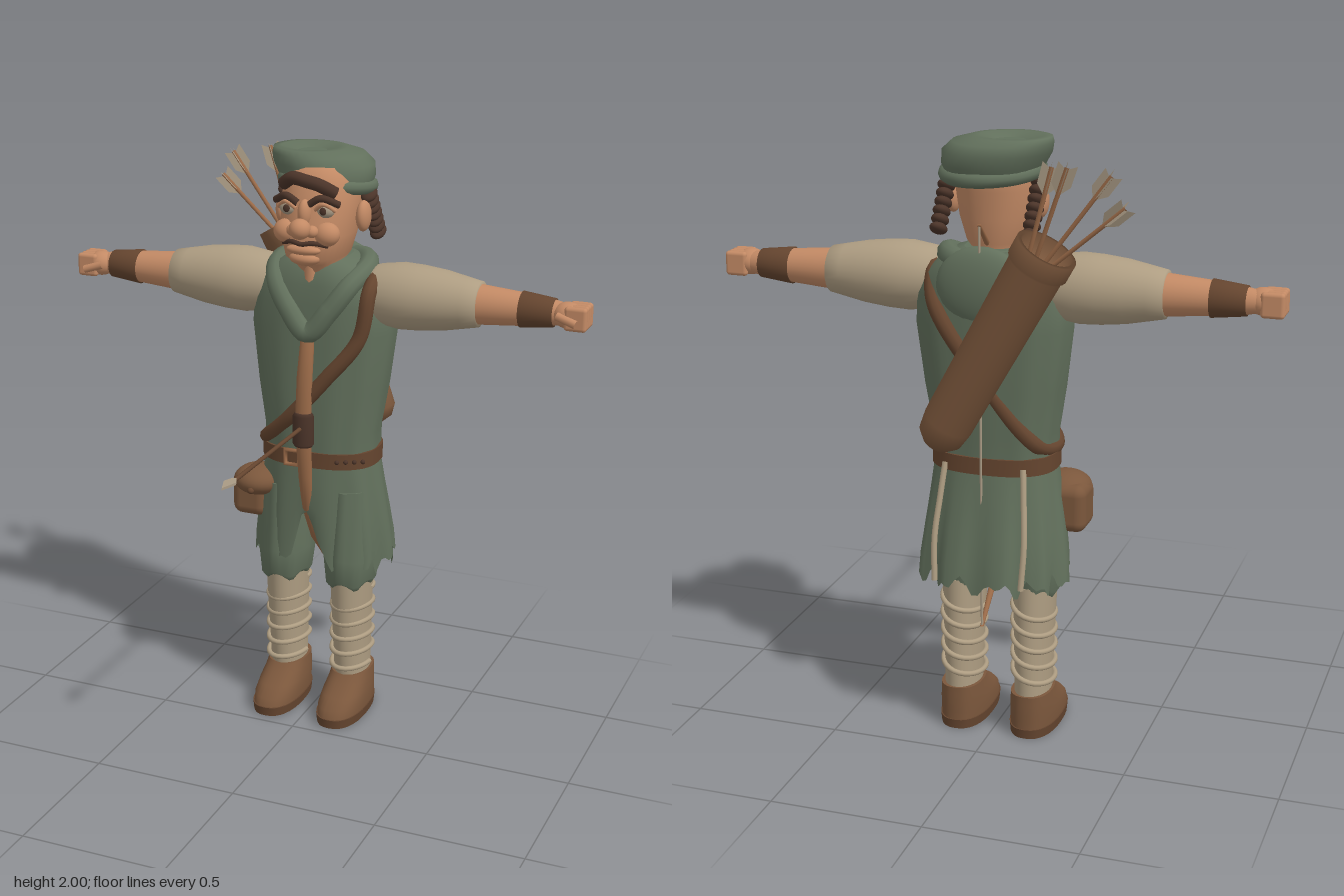
import * as THREE from 'three';
import { RoundedBoxGeometry } from 'three/addons/geometries/RoundedBoxGeometry.js';

const mat = (name, color, side = THREE.FrontSide) => {
  const m = new THREE.MeshStandardMaterial({ color, side });
  m.name = name;
  return m;
};
const V = (x, y, z) => new THREE.Vector3(x, y, z);

// Closed skin over stacked rings [y, rx, rz, cz, cx], listed from bottom to top.
function loft(rings, { n = 32, power = 2, warp = () => [1, 0], caps = true } = {}) {
  const pos = [], idx = [];
  rings.forEach(([y, rx, rz, cz = 0, cx = 0], j) => {
    for (let i = 0; i < n; i++) {
      const a = (i / n) * Math.PI * 2, c = Math.cos(a), s = Math.sin(a);
      const [k, dy] = warp(a, j / (rings.length - 1));
      const f = (v) => Math.sign(v) * Math.abs(v) ** (2 / power) * k;
      pos.push(cx + rx * f(c), y + dy, cz + rz * f(s));
    }
  });
  for (let j = 0; j < rings.length - 1; j++) for (let i = 0; i < n; i++) {
    const a = j * n + i, b = j * n + (i + 1) % n;
    idx.push(a, a + n, b, b, a + n, b + n);
  }
  if (caps) [0, rings.length - 1].forEach((j) => {
    const [y, , , cz = 0, cx = 0] = rings[j], base = pos.length / 3;
    pos.push(...pos.slice(j * n * 3, (j + 1) * n * 3), cx, y, cz);
    for (let i = 0; i < n; i++) {
      const p = base + i, q = base + (i + 1) % n;
      if (j === 0) idx.push(base + n, p, q); else idx.push(base + n, q, p);
    }
  });
  const g = new THREE.BufferGeometry();
  g.setAttribute('position', new THREE.Float32BufferAttribute(pos, 3));
  g.setIndex(idx);
  g.computeVertexNormals();
  return g;
}
const lathe = (pts, n = 28) => new THREE.LatheGeometry(pts.map(([r, y]) => new THREE.Vector2(r, y)), n);
const tube = (pts, r, closed = false, seg = 48) =>
  new THREE.TubeGeometry(new THREE.CatmullRomCurve3(pts.map((p) => V(...p)), closed), seg, r, 10, closed);

export function createModel() {
  const model = new THREE.Group();
  model.name = 'archer';
  const green = mat('green cloth', 0x62705c, THREE.DoubleSide);
  const linen = mat('linen', 0xae9d82);
  const skin = mat('skin', 0xc38a65);
  const leather = mat('leather', 0x7b573c);
  const strapBrown = mat('dark leather', 0x65452f);
  const hair = mat('hair', 0x4b3429);
  const wood = mat('wood', 0x9a6a48);
  const pale = mat('pale feather', 0xa99a84, THREE.DoubleSide);

  const add = (name, geo, m, parent = model) => {
    const mesh = new THREE.Mesh(geo, m);
    mesh.name = name;
    parent.add(mesh);
    return mesh;
  };
  const ball = (name, m, p, s, parent = model) => {
    const b = add(name, new THREE.SphereGeometry(1, 24, 16), m, parent);
    b.position.set(...p);
    b.scale.set(...s);
    return b;
  };
  const rod = (name, m, a, b, r, parent = model) => add(name, tube([a, b], r, false, 1), m, parent);

  // Tunic, skirt with ragged split hem, and belt
  add('tunic', loft([[0.95, 0.2, 0.145, -0.27], [1.05, 0.2, 0.148, -0.27], [1.2, 0.225, 0.155, -0.277],
    [1.4, 0.25, 0.157, -0.284], [1.5, 0.245, 0.157, -0.286], [1.57, 0.21, 0.155, -0.288],
    [1.63, 0.15, 0.14, -0.29], [1.65, 0.09, 0.1, -0.28]],
  { n: 64, power: 2.5, warp: (a, t) => [1 + 0.014 * (1 - t) * Math.sin(11 * a), 0] }), green);
  add('skirt', loft([[0.57, 0.245, 0.18, -0.3], [0.64, 0.243, 0.178, -0.295], [0.74, 0.232, 0.17, -0.285],
    [0.86, 0.215, 0.158, -0.275], [0.96, 0.2, 0.148, -0.27]],
  { n: 96, power: 2.3, caps: false, warp: (a, t) => {
    const low = (1 - t) ** 1.5, split = Math.exp(-(((a - Math.PI / 2) / 0.2) ** 2));
    return [1 + 0.05 * (1 - t) * Math.sin(10 * a + 1),
      low * (0.02 * Math.sin(13 * a) + 0.018 * Math.sin(23 * a + 2) + 0.17 * split)];
  } }), green);
  add('belt', loft([[0.935, 0.207, 0.153, -0.27], [0.99, 0.207, 0.153, -0.27]], { n: 48, power: 2.5 }), strapBrown);
  const buckle = add('buckle', new THREE.TorusGeometry(0.036, 0.009, 8, 4), wood);
  buckle.rotation.z = Math.PI / 4;
  buckle.position.set(-0.05, 0.965, -0.115);
  for (let i = 0; i < 4; i++) ball('beltStud', hair, [0.11 + i * 0.026, 0.965, -0.125 - i * 0.014], [0.008, 0.008, 0.008]);

  // Hood draped around the neck
  add('hoodRoll', tube([[0, 1.41, -0.125], [0.075, 1.49, -0.135], [0.13, 1.57, -0.17], [0.155, 1.615, -0.27], [0.1, 1.62, -0.38],
    [0, 1.61, -0.41], [-0.1, 1.62, -0.38], [-0.155, 1.615, -0.27], [-0.13, 1.57, -0.17], [-0.075, 1.49, -0.135]], 0.036, true, 90), green);
  ball('hoodBack', green, [0, 1.54, -0.41], [0.15, 0.13, 0.05]);
  add('throat', loft([[1.53, 0.006, 0.01, -0.15], [1.59, 0.028, 0.03, -0.165], [1.67, 0.022, 0.04, -0.17]], { n: 12 }), skin);

  // Legs
  for (const s of [1, -1]) {
    const leg = new THREE.Group();
    leg.name = s > 0 ? 'leftLeg' : 'rightLeg';
    leg.position.x = s * 0.122;
    model.add(leg);
    add('breeches', loft([[0.49, 0.07, 0.09, -0.24], [0.51, 0.085, 0.11, -0.235], [0.6, 0.096, 0.122, -0.24], [0.85, 0.085, 0.125, -0.26]],
      { warp: (a, t) => [1 + 0.025 * Math.sin(9 * a), 0.012 * (1 - t) * Math.sin(5 * a)] }), green, leg);
    add('legging', loft([[0.12, 0.06, 0.09, -0.265], [0.2, 0.06, 0.095, -0.26], [0.35, 0.064, 0.104, -0.253],
      [0.53, 0.071, 0.105, -0.245]]), linen, leg);
    const wrap = Array.from({ length: 81 }, (_, i) => {
      const a = (i / 16) * Math.PI * 2;
      return [0.066 * Math.cos(a), 0.165 + 0.285 * i / 80 + 0.012 * Math.cos(a), -0.257 + 0.104 * Math.sin(a)];
    });
    add('legWrap', tube(wrap, 0.009, false, 160), linen, leg);
    add('shoe', loft([[0.03, 0.079, 0.164, -0.2], [0.06, 0.08, 0.158, -0.206], [0.09, 0.077, 0.138, -0.226],
      [0.12, 0.072, 0.111, -0.252], [0.148, 0.068, 0.095, -0.267]], { power: 2.4 }), leather, leg);
    add('sole', loft([[0, 0.08, 0.165, -0.2], [0.032, 0.083, 0.168, -0.2]], { power: 2.4 }), strapBrown, leg);
  }

  // Arms, built along +x and turned round for the other side
  for (const s of [1, -1]) {
    const arm = new THREE.Group();
    arm.name = s > 0 ? 'leftArm' : 'rightArm';
    arm.position.set(0, 1.53, -0.275);
    arm.scale.x = s;
    model.add(arm);
    const along = (name, pts, m) => { add(name, lathe(pts).rotateZ(-Math.PI / 2), m, arm); };
    along('sleeve', [[0, 0.13], [0.08, 0.14], [0.1, 0.2], [0.112, 0.28], [0.109, 0.35], [0.1, 0.43], [0.086, 0.5], [0.076, 0.55], [0.055, 0.553]], linen);
    along('forearm', [[0.068, 0.53], [0.064, 0.58], [0.055, 0.69], [0.042, 0.8], [0.036, 0.83]], skin);
    along('bracer', [[0.05, 0.69], [0.06, 0.69], [0.053, 0.75], [0.047, 0.8], [0.038, 0.8]], strapBrown);
    ball('palm', skin, [0.845, 0, 0.01], [0.05, 0.043, 0.048], arm);
    for (let i = 0; i < 4; i++) {
      const f = add('finger', new RoundedBoxGeometry(0.075, 0.08, 0.025, 3, 0.012), skin, arm);
      f.position.set(0.88, -0.002, -0.027 + i * 0.024);
    }
    rod('thumb', skin, [0.82, 0.005, 0.055], [0.885, -0.015, 0.062], 0.014, arm);
  }

  // Head and face
  add('head', loft([[1.56, 0.075, 0.09, -0.26], [1.64, 0.078, 0.11, -0.24], [1.665, 0.1, 0.14, -0.222], [1.74, 0.122, 0.147, -0.228],
    [1.83, 0.13, 0.14, -0.245], [1.91, 0.124, 0.137, -0.262], [1.955, 0.095, 0.105, -0.265], [1.97, 0.04, 0.05, -0.27]], { power: 2.2 }), skin);
  ball('nose', skin, [0, 1.775, -0.06], [0.036, 0.034, 0.037]);
  ball('noseBridge', skin, [0, 1.82, -0.1], [0.022, 0.045, 0.03]);
  ball('lowerLip', skin, [0, 1.7, -0.092], [0.06, 0.018, 0.025]);
  ball('chin', skin, [0, 1.67, -0.105], [0.055, 0.025, 0.035]);
  add('mouth', tube([[-0.078, 1.715, -0.11], [-0.035, 1.727, -0.08], [0, 1.722, -0.074], [0.035, 1.727, -0.08], [0.078, 1.715, -0.11]], 0.008), hair);
  for (const s of [1, -1]) {
    ball('nostril', skin, [s * 0.033, 1.765, -0.082], [0.022, 0.02, 0.022]);
    ball('cheek', skin, [s * 0.07, 1.752, -0.118], [0.045, 0.04, 0.04]);
    ball('eye', pale, [s * 0.066, 1.83, -0.12], [0.03, 0.025, 0.022]);
    ball('pupil', hair, [s * 0.064, 1.83, -0.1], [0.012, 0.013, 0.005]);
    add('eyelid', tube([[s * 0.034, 1.832, -0.106], [s * 0.066, 1.853, -0.1], [s * 0.1, 1.83, -0.12]], 0.007), skin);
    add('eyebrow', tube([[s * 0.02, 1.852, -0.092], [s * 0.06, 1.874, -0.092], [s * 0.112, 1.85, -0.125]], 0.012), hair);
    ball('ear', skin, [s * 0.143, 1.79, -0.26], [0.024, 0.052, 0.04]);
    for (let i = 0; i < 7; i++) {
      const b = ball('braid', hair, [s * 0.148, 1.855 - i * 0.024, -0.295 - i * 0.015], [0.027, 0.018, 0.036]);
      b.rotation.x = 0.5;
    }
  }
  add('fringe', tube([[-0.085, 1.905, -0.125], [-0.045, 1.93, -0.105], [0.01, 1.925, -0.095], [0.05, 1.915, -0.1], [0.095, 1.885, -0.13]], 0.022), hair);

  // Soft cap slouching to one side
  add('capCrown', loft([[1.88, 0.15, 0.14, -0.3], [1.91, 0.162, 0.15, -0.305, -0.002], [1.95, 0.172, 0.15, -0.312, -0.016],
    [1.98, 0.158, 0.14, -0.312, -0.035], [1.997, 0.125, 0.11, -0.31, -0.065], [1.998, 0.1, 0.085, -0.31, -0.065], [1.982, 0.05, 0.05, -0.31, -0.06]],
  { warp: (a) => [1 + 0.015 * Math.sin(5 * a), 0] }), green);
  const brim = Array.from({ length: 16 }, (_, i) => {
    const a = i * Math.PI / 8;
    return [0.145 * Math.cos(a), 1.888 + 0.012 * Math.sin(a) - 0.008 * Math.cos(a), -0.3 + 0.135 * Math.sin(a)];
  });
  add('capBand', tube(brim, 0.024, true, 64), green);

  // Bow, string and nocked arrow
  add('bow', loft([[0.42, 0.006, 0.008, -0.43], [0.52, 0.011, 0.014, -0.325], [0.65, 0.016, 0.018, -0.205], [0.78, 0.02, 0.018, -0.135],
    [0.9, 0.024, 0.018, -0.112], [1.08, 0.028, 0.022, -0.09], [1.26, 0.028, 0.018, -0.103], [1.4, 0.024, 0.018, -0.13],
    [1.51, 0.018, 0.018, -0.2], [1.64, 0.011, 0.014, -0.325], [1.74, 0.006, 0.008, -0.43]], { n: 16 }), wood);
  add('bowGrip', loft([[1.02, 0.03, 0.026, -0.095], [1.03, 0.037, 0.033, -0.094], [1.13, 0.036, 0.032, -0.092], [1.14, 0.029, 0.026, -0.093]], { n: 20 }), hair);
  rod('bowString', pale, [0, 0.42, -0.43], [0, 1.74, -0.43], 0.004);
  rod('arrowShaft', strapBrown, [0, 1.09, -0.1], [0, 1.09, 0.48], 0.007);
  const head = new THREE.Shape([[0, 0.55], [0.021, 0.49], [0.007, 0.455], [-0.007, 0.455], [-0.021, 0.49]].map((p) => new THREE.Vector2(...p)));
  const tip = add('arrowHead', new THREE.ExtrudeGeometry(head, { depth: 0.008, bevelEnabled: false }).rotateX(Math.PI / 2), pale);
  tip.position.y = 1.098;

  // Quiver across the back, with its strap and spare arrows
  const quiver = add('quiver', lathe([[0, 0], [0.045, 0.008], [0.073, 0.04], [0.082, 0.1], [0.09, 0.7], [0.099, 0.71],
    [0.099, 0.77], [0.085, 0.77], [0.082, 0.7], [0, 0.7]]), leather);
  quiver.position.set(0.155, 1.02, -0.425);
  quiver.quaternion.setFromUnitVectors(V(0, 1, 0), V(-0.38, 0.668, -0.04).normalize());
  add('quiverStrap', tube([[0.2, 1.56, -0.175], [0.175, 1.4, -0.148], [0.07, 1.26, -0.125], [-0.07, 1.1, -0.128], [-0.18, 1.0, -0.2],
    [-0.16, 1.03, -0.36], [0, 1.25, -0.42], [0.15, 1.48, -0.42], [0.19, 1.59, -0.3]], 0.026, true, 90), strapBrown);
  const vane = new THREE.Shape([[-0.006, 0], [-0.03, 0.03], [-0.03, 0.1], [0, 0.08], [0.03, 0.1], [0.03, 0.03], [0.006, 0]].map((p) => new THREE.Vector2(...p)));
  [[-0.48, 1.84, -0.49], [-0.43, 1.93, -0.47], [-0.3, 1.955, -0.5], [-0.245, 1.95, -0.475]].forEach((end, i) => {
    const start = V(-0.22 + i * 0.022, 1.62, -0.455), stop = V(...end);
    const arrow = new THREE.Group();
    arrow.name = 'spareArrow';
    arrow.position.copy(start);
    arrow.quaternion.setFromUnitVectors(V(0, 1, 0), stop.clone().sub(start).normalize());
    model.add(arrow);
    const len = stop.distanceTo(start);
    rod('spareShaft', wood, [0, 0, 0], [0, len - 0.01, 0], 0.007, arrow);
    for (const turn of [0.3, 0.3 + Math.PI / 2]) {
      const f = add('fletching', new THREE.ShapeGeometry(vane), pale, arrow);
      f.position.y = len - 0.1;
      f.rotation.y = turn;
    }
  });

  // Hip pouch and the cords hanging behind
  const pouch = add('pouch', new RoundedBoxGeometry(0.13, 0.16, 0.14, 4, 0.035), leather);
  pouch.position.set(-0.23, 0.79, -0.21);
  ball('pouchFlap', leather, [-0.205, 0.842, -0.185], [0.088, 0.053, 0.09]);
  ball('pouchButton', strapBrown, [-0.2, 0.825, -0.1], [0.012, 0.012, 0.012]);
  for (const s of [1, -1])
    add('hangingCord', tube([[s * 0.13, 0.96, -0.4], [s * 0.14, 0.85, -0.425], [s * 0.15, 0.72, -0.455], [s * 0.145, 0.58, -0.475]], 0.01), linen);

  return model;
}
